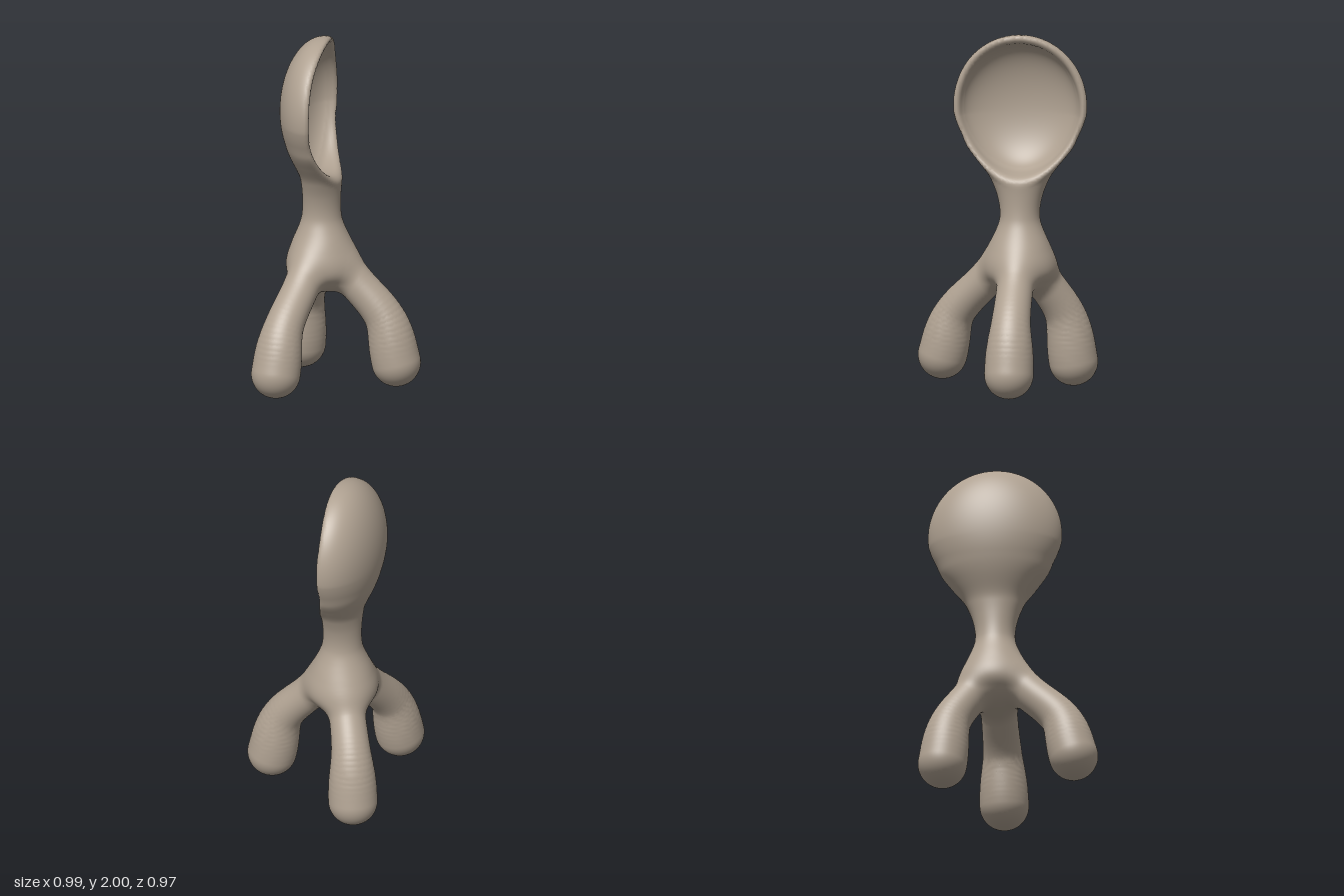
import * as THREE from 'three';
import { mergeVertices } from 'three/addons/utils/BufferGeometryUtils.js';

const { lerp, clamp } = THREE.MathUtils;
const AXIS = { x: -0.04, z: -0.022 }; // upright axis of neck and bowl
const OPEN = { x: 0.93, z: 0.37 }; // direction the bowl opens towards

// Smooth union and smooth intersection of two distances
const smin = (a, b, k) => {
  const h = Math.max(k - Math.abs(a - b), 0) / k;
  return Math.min(a, b) - h * h * k * 0.25;
};
const smax = (a, b, k) => -smin(-a, -b, k);

// Smooth cubic lookup through knots [[x, value], ...]
function profile(knots, x) {
  const last = knots.length - 1;
  if (x <= knots[0][0]) return knots[0][1];
  if (x >= knots[last][0]) return knots[last][1];
  const slope = (i) => (i === 0 || i === last ? 0
    : (knots[i + 1][1] - knots[i - 1][1]) / (knots[i + 1][0] - knots[i - 1][0]));
  let i = 0;
  while (x > knots[i + 1][0]) i++;
  const [x0, v0] = knots[i], [x1, v1] = knots[i + 1];
  const w = x1 - x0, t = (x - x0) / w, s = t * t * (3 - 2 * t);
  return lerp(v0, v1, s) + w * t * (1 - t) * ((1 - t) * slope(i) - t * slope(i + 1));
}

function ellipsoid(x, y, z, a, b, c) {
  const k0 = Math.hypot(x / a, y / b, z / c);
  const k1 = Math.hypot(x / (a * a), y / (b * b), z / (c * c));
  return k1 < 1e-6 ? -Math.min(a, b, c) : (k0 * (k0 - 1)) / k1;
}

// Legs: curved, tapering limbs ending in bulbous feet
const LEGS = [
  { name: 'frontRightLeg', x: -0.355, z: 0.34, bottom: 0.03 },
  { name: 'frontLeftLeg', x: 0.355, z: 0.15, bottom: 0.012 },
  { name: 'backLeg', x: -0.105, z: -0.35, bottom: 0 },
];
const LEG_RADII = [[0, 0.138], [0.15, 0.133], [0.38, 0.11], [0.67, 0.102], [1, 0.11]];
const STEPS = 28;
for (const leg of LEGS) {
  leg.dx = leg.x - AXIS.x;
  leg.dz = leg.z - AXIS.z;
  const at = (f, y) => new THREE.Vector3(AXIS.x + leg.dx * f, y, AXIS.z + leg.dz * f);
  const curve = new THREE.CatmullRomCurve3([
    at(1, leg.bottom + 0.138), at(0.85, 0.4), at(0.45, 0.605), at(0.08, 0.79)]);
  leg.points = curve.getPoints(STEPS);
  leg.radii = leg.points.map((_, i) => profile(LEG_RADII, i / STEPS));
}

function legDistance(leg, x, y, z) {
  let best = Infinity;
  for (let i = 0; i < STEPS; i++) {
    const p = leg.points[i], q = leg.points[i + 1];
    const ex = q.x - p.x, ey = q.y - p.y, ez = q.z - p.z;
    const px = x - p.x, py = y - p.y, pz = z - p.z;
    const t = clamp((px * ex + py * ey + pz * ez) / (ex * ex + ey * ey + ez * ez), 0, 1);
    const dx = px - ex * t, dy = py - ey * t, dz = pz - ez * t;
    const d = Math.sqrt(dx * dx + dy * dy + dz * dz) - lerp(leg.radii[i], leg.radii[i + 1], t);
    if (d < best) best = d;
  }
  return best;
}

const NECK_WIDTH = [[0.7, 0.17], [0.8, 0.15], [0.9, 0.125], [1, 0.112], [1.1, 0.128], [1.2, 0.168], [1.3, 0.22], [1.4, 0.27]];
const NECK_DEPTH = [[0.7, 0.17], [0.8, 0.15], [0.9, 0.125], [1, 0.109], [1.1, 0.108], [1.2, 0.117], [1.4, 0.15]];

// Signed distance to the whole body: legs, hub, neck and hollow bowl blended together
function distance(x, y, z) {
  const px = x - AXIS.x, pz = z - AXIS.z;
  const w = px * OPEN.x + pz * OPEN.z; // towards the opening
  const u = -px * OPEN.z + pz * OPEN.x; // across the bowl
  // Neck: elliptical column flaring into the bowl
  const a = profile(NECK_WIDTH, y), b = profile(NECK_DEPTH, y);
  let d = (Math.hypot(u / a, w / b) - 1) * Math.min(a, b);
  d = smax(smax(d, y - 1.4, 0.05), 0.68 - y, 0.05);
  if (y < 1.1) {
    const legs = LEGS.map((leg) => legDistance(leg, x, y, z));
    const limbs = smin(smin(legs[0], legs[1], 0.07), legs[2], 0.07);
    // Hub: the broad web where the legs meet
    const hub = ellipsoid(px, y - 0.69, pz, 0.185, 0.155, 0.185);
    d = smin(d, smin(limbs, hub, 0.07), 0.08);
  }
  // Bowl: egg-shaped shell, trimmed at the rim and hollowed out
  const back = Math.min(w, 0);
  const egg = u / (1 - 0.35 * clamp(1.55 - y, 0, 0.6));
  d = smin(d, ellipsoid(egg, y - 1.605, back, 0.378, 0.4, 0.225), 0.06);
  const low = Math.max(0, 1.5 - y), high = Math.max(0, y - 1.75);
  d = smax(d, w - (0.012 + 1.05 * low * low + 0.6 * high * high), 0.035);
  const flare = 1 + 0.6 * Math.max(0, w + 0.04);
  return smax(d, -ellipsoid(egg / flare, (y - 1.592) / flare, back, 0.33, 0.354, 0.165), 0.03);
}

function gradient(x, y, z, out) {
  const e = 0.005;
  return out.set(
    distance(x + e, y, z) - distance(x - e, y, z),
    distance(x, y + e, z) - distance(x, y - e, z),
    distance(x, y, z + e) - distance(x, y, z - e)).divideScalar(2 * e);
}

// Name of the part that a surface point belongs to
function partAt(x, y, z) {
  if (y > 1.2) return 'bowl';
  if (y > 0.74) return 'neck';
  let name = 'hub', best = 0.14;
  for (const leg of LEGS) {
    const s = ((x - AXIS.x) * leg.dx + (z - AXIS.z) * leg.dz) / Math.hypot(leg.dx, leg.dz);
    if (s > best) { best = s; name = leg.name; }
  }
  return name;
}

// Surface net: one vertex per crossed grid cell, one quad per crossed grid edge
function buildParts() {
  const h = 0.0145, origin = [-0.56, -0.05, -0.56];
  const size = [78, 146, 78], stride = [1, size[0], size[0] * size[1]];
  const field = new Float32Array(size[0] * size[1] * size[2]).fill(1);
  const each = (from, fn) => {
    for (let k = from; k < size[2] - 1; k++)
      for (let j = from; j < size[1] - 1; j++)
        for (let i = from; i < size[0] - 1; i++) fn(i, j, k, i + j * stride[1] + k * stride[2]);
  };
  each(0, (i, j, k, n) => {
    field[n] = distance(origin[0] + i * h, origin[1] + j * h, origin[2] + k * h);
  });

  const positions = [], normals = [], cell = new Map(), g = new THREE.Vector3();
  each(0, (i, j, k, n) => {
    const sum = [0, 0, 0];
    let count = 0;
    for (let c = 0; c < 8; c++) {
      for (let axis = 0; axis < 3; axis++) {
        if (c & (1 << axis)) continue;
        const o = [c & 1, (c >> 1) & 1, (c >> 2) & 1];
        const m = n + o[0] + o[1] * stride[1] + o[2] * stride[2];
        const f0 = field[m], f1 = field[m + stride[axis]];
        if (f0 < 0 === f1 < 0) continue;
        o[axis] += f0 / (f0 - f1);
        for (let s = 0; s < 3; s++) sum[s] += o[s];
        count++;
      }
    }
    if (!count) return;
    const p = [i, j, k].map((v, s) => origin[s] + (v + sum[s] / count) * h);
    // Settle the vertex onto the true surface
    for (let step = 0; step < 3; step++) {
      gradient(...p, g);
      const move = clamp(distance(...p) / Math.max(g.lengthSq(), 0.1), -h / 3, h / 3);
      p[0] -= g.x * move; p[1] -= g.y * move; p[2] -= g.z * move;
    }
    gradient(...p, g).normalize();
    cell.set(n, positions.length / 3);
    positions.push(...p);
    normals.push(g.x, g.y, g.z);
  });

  const parts = {};
  each(1, (i, j, k, n) => {
    for (let axis = 0; axis < 3; axis++) {
      const inside = field[n] < 0;
      if (inside === field[n + stride[axis]] < 0) continue;
      const sb = stride[(axis + 1) % 3], sc = stride[(axis + 2) % 3];
      const quad = [n - sb - sc, n - sc, n, n - sb].map((m) => cell.get(m));
      if (!inside) quad.reverse();
      const [q0, q1, q2, q3] = quad;
      const name = partAt(origin[0] + i * h, origin[1] + j * h, origin[2] + k * h);
      (parts[name] ??= []).push(q0, q1, q2, q0, q2, q3);
    }
  });
  return { positions, normals, parts };
}

export function createModel() {
  const model = new THREE.Group();
  model.name = 'threeLeggedSpoon';
  const clay = new THREE.MeshStandardMaterial({ color: 0xb0a292 });
  clay.name = 'warm grey clay';
  const { positions, normals, parts } = buildParts();
  for (const [name, index] of Object.entries(parts)) {
    const geometry = new THREE.BufferGeometry();
    geometry.setAttribute('position', new THREE.Float32BufferAttribute(positions, 3));
    geometry.setAttribute('normal', new THREE.Float32BufferAttribute(normals, 3));
    geometry.setIndex(index);
    const mesh = new THREE.Mesh(mergeVertices(geometry.toNonIndexed(), 1e-5), clay);
    mesh.name = name;
    model.add(mesh);
  }
  return model;
}
